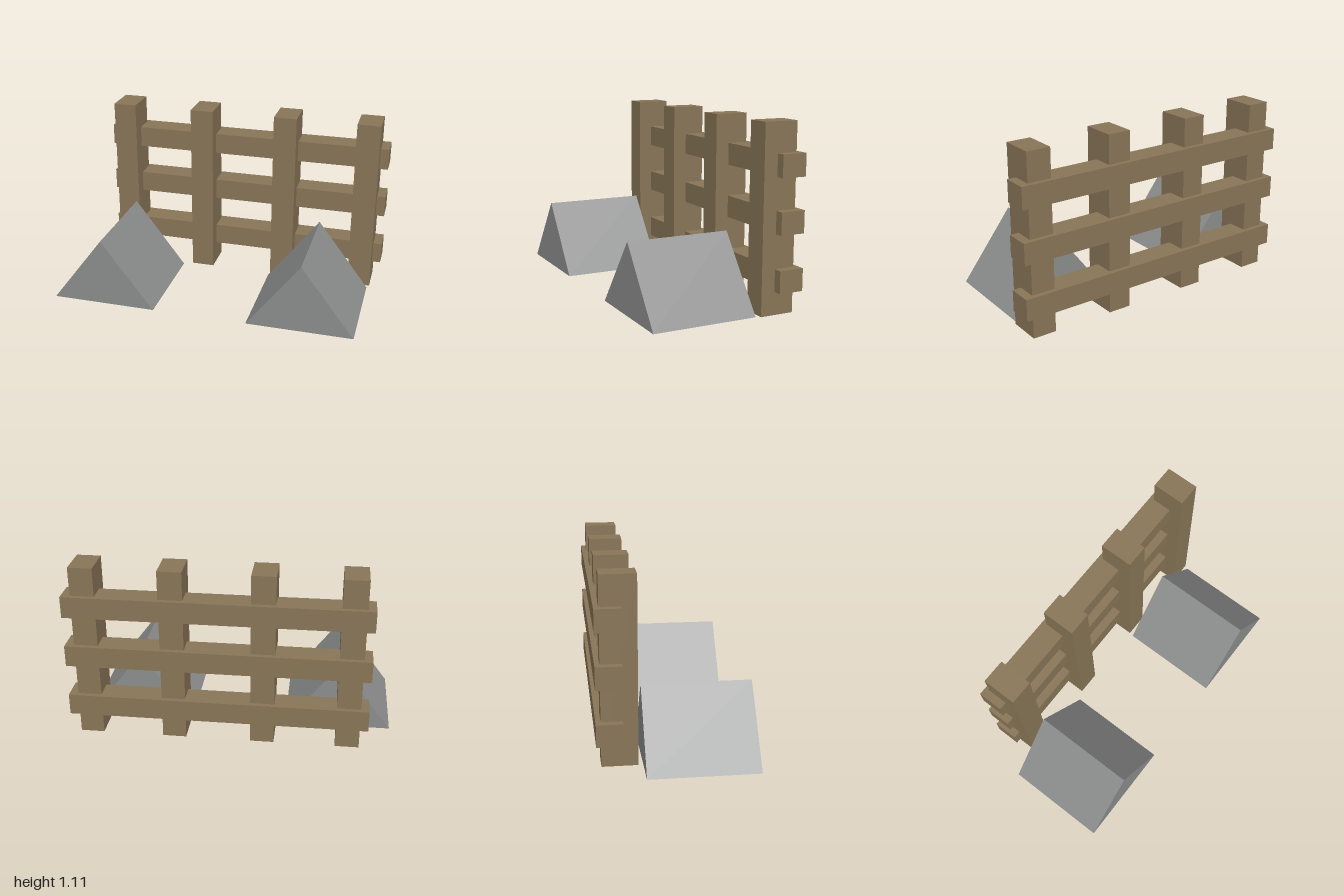
import * as THREE from 'three';

export function createModel() {
  const model = new THREE.Group();
  model.name = 'fenceWithTents';

  const wood = new THREE.MeshStandardMaterial({ color: 0x887557 });
  wood.name = 'weathered wood';
  const canvas = new THREE.MeshStandardMaterial({ color: 0x8c8e8d });
  canvas.name = 'grey canvas';

  function add(name, geometry, material, x, y, z) {
    const mesh = new THREE.Mesh(geometry, material);
    mesh.name = name;
    mesh.position.set(x, y, z);
    model.add(mesh);
  }

  // Upright posts
  const postGeometry = new THREE.BoxGeometry(0.147, 1.113, 0.211);
  [-0.731, -0.204, 0.346, 0.873].forEach((x, i) =>
    add(`post${i + 1}`, postGeometry, wood, x, 0.5565, -0.323));

  // Horizontal rails set into the backs of the posts
  const railGeometry = new THREE.BoxGeometry(1.854, 0.134, 0.154);
  [0.205, 0.543, 0.868].forEach((y, i) =>
    add(`rail${i + 1}`, railGeometry, wood, 0.073, y, -0.381));

  // Triangular prisms in front of the fence
  const profile = new THREE.Shape([
    new THREE.Vector2(-0.333, 0),
    new THREE.Vector2(0.333, 0),
    new THREE.Vector2(0, 0.438),
  ]);
  const prismGeometry = new THREE.ExtrudeGeometry(profile, { depth: 0.648, bevelEnabled: false });
  add('rightTent', prismGeometry, canvas, -0.667, 0, -0.19);
  add('leftTent', prismGeometry, canvas, 0.6, 0, -0.19);

  return model;
}
